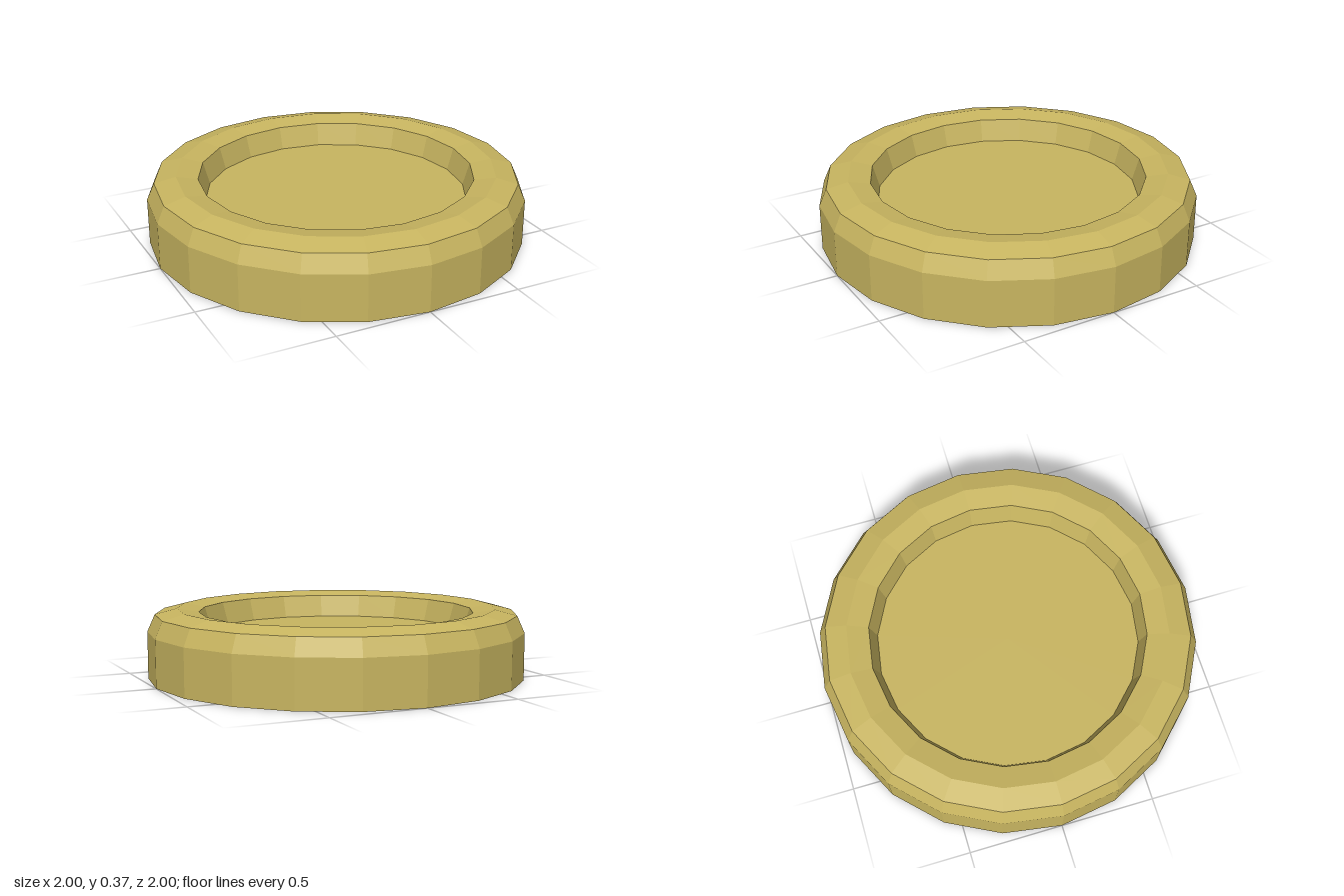
import * as THREE from 'three';

const SIDES = 20;

export function createModel() {
  const group = new THREE.Group();
  group.name = 'roundTray';
  const material = new THREE.MeshStandardMaterial({
    color: 0xc8b560, flatShading: true, side: THREE.DoubleSide,
  });

  // Each part is a band of a thin shell, turned about the y axis
  const addBand = (name, profile) => {
    const points = profile.map(([r, y]) => new THREE.Vector2(r, y));
    const mesh = new THREE.Mesh(new THREE.LatheGeometry(points, SIDES), material);
    mesh.name = name;
    group.add(mesh);
  };

  // Outer wall, open underneath, with a bevel at the top
  addBand('outerWall', [[1, 0], [1, 0.25], [0.96, 0.34]]);
  // Gently crowned rim
  addBand('rim', [[0.96, 0.34], [0.845, 0.37], [0.73, 0.35]]);
  // Tapered wall down to the recessed floor
  addBand('innerWall', [[0.73, 0.35], [0.695, 0.23]]);

  // Floor disc
  const floor = new THREE.Mesh(new THREE.CircleGeometry(0.695, SIDES).rotateX(-Math.PI / 2), material);
  floor.name = 'floor';
  floor.position.y = 0.23;
  group.add(floor);

  return group;
}
